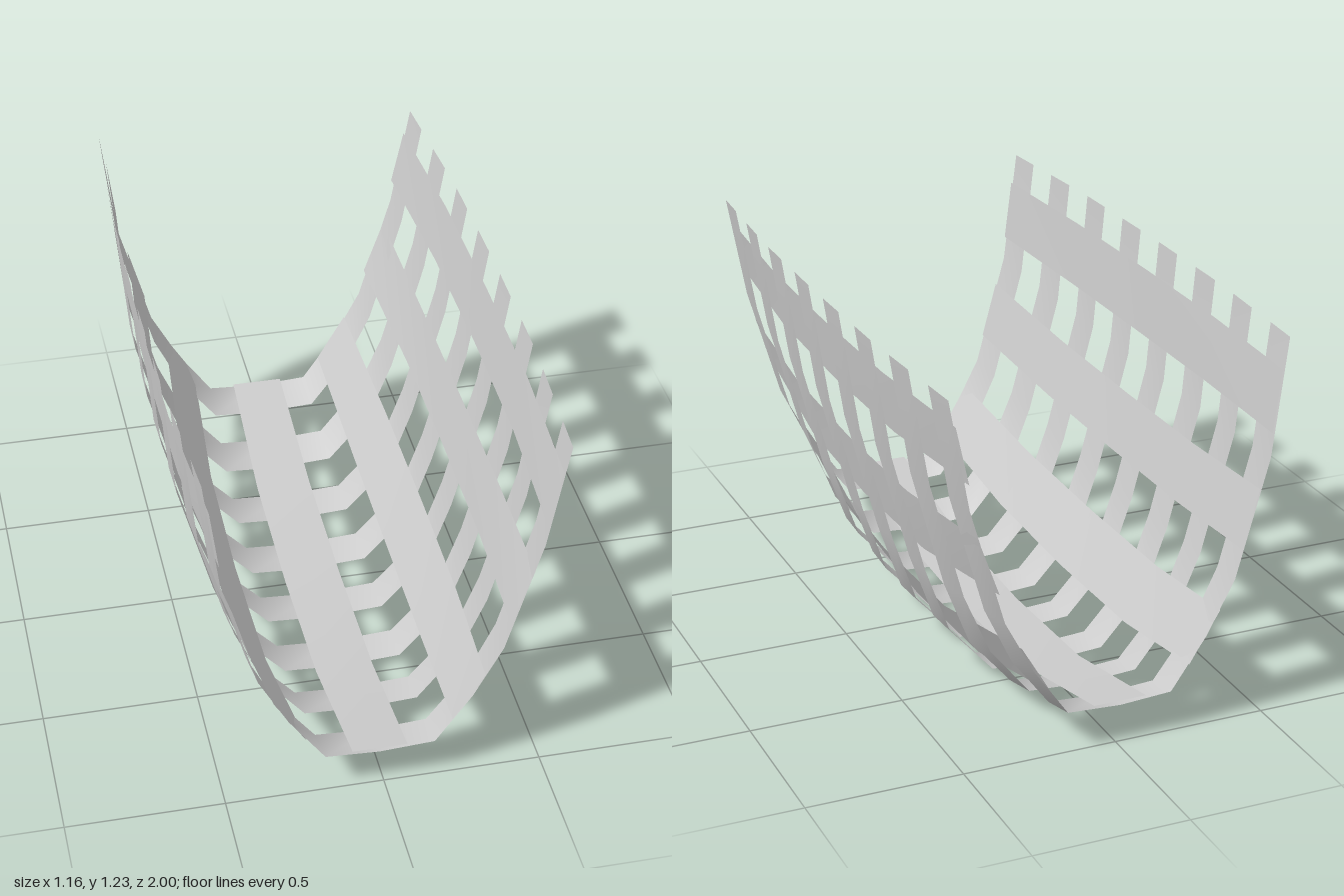
import * as THREE from 'three';

const material = new THREE.MeshStandardMaterial({ color: 0xcccccc, side: THREE.DoubleSide });

// How far the hull has tapered inward: 0 amidships, 1 at either end
function taper(z) {
  const a = Math.abs(z);
  return a < 0.5 ? a * 0.34 : 0.17 + (a - 0.5) * 1.66;
}

// Thin sheet lofted from the midship section to the end section over the given z stations
function sheet(name, mid, end, stations) {
  const positions = [], index = [], n = mid.length;
  for (const z of stations) {
    const t = taper(z);
    mid.forEach(([x, y], i) => {
      positions.push(THREE.MathUtils.lerp(x, end[i][0], t), THREE.MathUtils.lerp(y, end[i][1], t), z);
    });
  }
  for (let s = 0; s < stations.length - 1; s++) {
    for (let i = 0; i < n - 1; i++) {
      const a = s * n + i, b = a + n;
      index.push(a, a + 1, b, a + 1, b + 1, b);
    }
  }
  const geometry = new THREE.BufferGeometry();
  geometry.setAttribute('position', new THREE.Float32BufferAttribute(positions, 3));
  geometry.setIndex(index);
  geometry.computeVertexNormals();
  const mesh = new THREE.Mesh(geometry, material);
  mesh.name = name;
  return mesh;
}

// U-shaped rib sections, from the right rim under the keel to the left rim
const ribMid = [
  [-0.58, 1.24], [-0.545, 0.81], [-0.44, 0.41], [-0.363, 0.18], [-0.208, 0.016], [-0.015, 0.004],
  [0.18, 0.016], [0.332, 0.18], [0.41, 0.41], [0.515, 0.81], [0.577, 1.21],
];
const ribEnd = [
  [-0.544, 1.24], [-0.497, 0.86], [-0.392, 0.48], [-0.30, 0.305], [-0.185, 0.14], [-0.015, 0.13],
  [0.16, 0.14], [0.275, 0.305], [0.367, 0.48], [0.478, 0.86], [0.542, 1.21],
];

// Plank edges: [name, midship section, end section]
const planks = [
  ['keelPlank', [[-0.11, 0.02], [0.08, 0.02]], [[-0.10, 0.145], [0.073, 0.145]]],
  ['rightLowerPlank', [[-0.39, 0.29], [-0.28, 0.105]], [[-0.345, 0.385], [-0.245, 0.22]]],
  ['rightMiddlePlank', [[-0.51, 0.70], [-0.459, 0.505]], [[-0.465, 0.765], [-0.413, 0.575]]],
  ['rightUpperPlank', [[-0.564, 1.13], [-0.544, 0.915]], [[-0.525, 1.14], [-0.50, 0.94]]],
  ['leftLowerPlank', [[0.245, 0.105], [0.36, 0.29]], [[0.215, 0.22], [0.312, 0.385]]],
  ['leftMiddlePlank', [[0.43, 0.505], [0.479, 0.71]], [[0.384, 0.575], [0.452, 0.765]]],
  ['leftUpperPlank', [[0.52, 0.915], [0.554, 1.115]], [[0.479, 0.94], [0.52, 1.125]]],
];

export function createModel() {
  const group = new THREE.Group();
  group.name = 'wovenHull';

  // Eight ribs with equal gaps between them
  const width = 2 / 15;
  for (let i = 0; i < 8; i++) {
    const z = -1 + i * 2 * width;
    group.add(sheet('rib' + (i + 1), ribMid, ribEnd, [z, z + width]));
  }

  // Lengthwise planks inside the ribs
  for (const [name, mid, end] of planks) {
    group.add(sheet(name, mid, end, [-1, -0.5, 0, 0.5, 1]));
  }
  return group;
}
